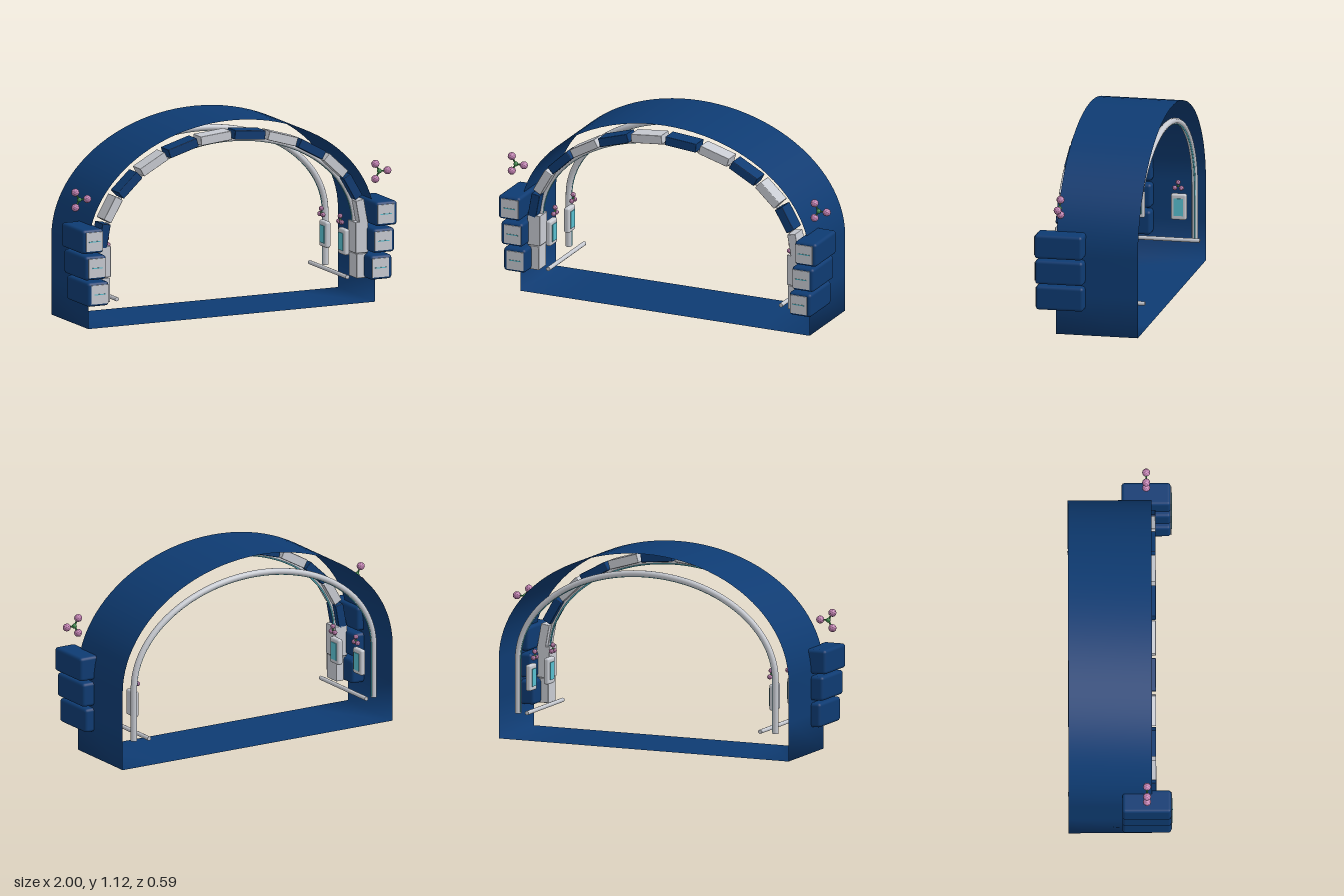
import * as THREE from 'three';
import { RoundedBoxGeometry } from 'three/addons/geometries/RoundedBoxGeometry.js';

const mat = (name, color, extra = {}) => {
  const m = new THREE.MeshStandardMaterial({ color, ...extra });
  m.name = name;
  return m;
};

const SPRING = 0.45; // height where the arches leave the straight legs

// Points along straight legs and a half-elliptical arch, right to left
function archPoints(rx, ry, foot, z = 0, legSteps = 3, steps = 48) {
  const pts = [];
  for (let i = 0; i < legSteps; i++) pts.push(new THREE.Vector3(rx, foot + (SPRING - foot) * i / legSteps, z));
  for (let i = 0; i <= steps; i++) {
    const a = Math.PI * i / steps;
    pts.push(new THREE.Vector3(rx * Math.cos(a), SPRING + ry * Math.sin(a), z));
  }
  for (let i = legSteps - 1; i >= 0; i--) pts.push(new THREE.Vector3(-rx, foot + (SPRING - foot) * i / legSteps, z));
  return pts;
}

// Open-ended tunnel: closed outline swept along z
function tunnelGeometry() {
  const loop = archPoints(0.895, 0.665, 0, 0, 2);
  for (let i = 1; i < 6; i++) loop.push(new THREE.Vector3(-0.895 + 1.79 * i / 6, 0, 0));
  const pos = [], idx = [], n = loop.length;
  loop.forEach((p, i) => {
    pos.push(p.x, p.y, 0.177, p.x, p.y, -0.292);
    const f = 2 * i, g = 2 * ((i + 1) % n);
    idx.push(f, f + 1, g, f + 1, g + 1, g);
  });
  const geo = new THREE.BufferGeometry();
  geo.setAttribute('position', new THREE.Float32BufferAttribute(pos, 3));
  geo.setIndex(idx);
  geo.computeVertexNormals();
  return geo;
}

export function createModel() {
  const blue = mat('navy blue', 0x0e3b72);
  const shellBlue = blue;
  shellBlue.side = THREE.DoubleSide;
  const grey = mat('light grey', 0xc8cbd2);
  const teal = mat('teal', 0x58bfd0);
  const pink = mat('blossom pink', 0xc080b0, { flatShading: true });
  const green = mat('stem green', 0x3f8a4c);

  const model = new THREE.Group();
  model.name = 'archway';
  const body = new THREE.Group();
  body.name = 'body';
  body.position.x = -0.013;
  model.add(body);

  const add = (parent, name, geo, material, x = 0, y = 0, z = 0) => {
    const m = new THREE.Mesh(geo, material);
    m.name = name;
    m.position.set(x, y, z);
    parent.add(m);
    return m;
  };
  const box = (w, h, d) => new THREE.BoxGeometry(w, h, d);

  add(body, 'tunnelShell', tunnelGeometry(), shellBlue);

  // Arch blocks in alternating colours
  const RX = 0.81, RY = 0.58, COUNT = 12;
  for (let i = 0; i < COUNT; i++) {
    const at = (k) => {
      const a = Math.PI - Math.PI * k / COUNT;
      return new THREE.Vector2(RX * Math.cos(a), SPRING + RY * Math.sin(a));
    };
    const p = at(i), q = at(i + 1), c = at(i + 0.5), d = q.clone().sub(p);
    const block = add(body, 'archBlock', new RoundedBoxGeometry(d.length() * 0.91, 0.052, 0.1, 1, 0.004),
      i % 2 ? grey : blue, c.x, c.y, 0.15);
    block.rotation.z = Math.atan2(d.y, d.x);
  }

  // Rails with a thin light strip on the inner side
  const rail = (name, rx, ry, z, r, material, foot) => {
    const curve = new THREE.CatmullRomCurve3(archPoints(rx, ry, foot, z));
    add(body, name, new THREE.TubeGeometry(curve, 96, r, 10), material);
    for (const s of [-1, 1]) {
      const cap = add(body, name + 'End', new THREE.CircleGeometry(r, 10), material, s * rx, foot, z);
      cap.rotation.x = Math.PI / 2;
    }
  };
  rail('backRail', 0.795, 0.545, -0.25, 0.018, grey, 0.145);
  rail('backLightStrip', 0.78, 0.53, -0.253, 0.005, teal, 0.15);
  rail('frontRail', 0.783, 0.55, 0.14, 0.011, grey, 0.3);
  rail('frontLightStrip', 0.774, 0.541, 0.135, 0.005, teal, 0.3);

  // Three-headed blossom lying in its local xy plane
  const blossom = (name, spread, r, core) => {
    const g = new THREE.Group();
    g.name = name;
    add(g, 'blossomCore', new THREE.SphereGeometry(core, 8, 6), green);
    for (let k = 0; k < 3; k++) {
      const a = k * Math.PI * 2 / 3, x = Math.cos(a), y = Math.sin(a);
      add(g, 'blossomHead', new THREE.IcosahedronGeometry(r, 1), pink, x * spread, y * spread, 0);
      const stem = add(g, 'blossomStem', new THREE.CylinderGeometry(core * 0.35, core * 0.35, spread, 6), green,
        x * spread / 2, y * spread / 2, 0);
      stem.rotation.z = a - Math.PI / 2;
    }
    body.add(g);
    return g;
  };

  for (const s of [-1, 1]) {
    // Pillar under each end of the block arch
    add(body, 'pillarLower', new RoundedBoxGeometry(0.066, 0.14, 0.1, 1, 0.004), grey, s * 0.803, 0.217, 0.15);
    add(body, 'pillarUpper', new RoundedBoxGeometry(0.078, 0.178, 0.1, 1, 0.004), grey, s * 0.803, 0.379, 0.15);

    // Stacked side lockers with a front plate and a light line
    for (let i = 0; i < 3; i++) {
      const x = s * (0.884 + i * 0.0165), y = 0.216 + i * 0.152;
      add(body, 'locker', new RoundedBoxGeometry(0.135, 0.138, 0.275, 2, 0.018), blue, x, y, 0.147);
      add(body, 'lockerPlate', box(0.104, 0.108, 0.006), grey, x - s * 0.007, y, 0.286);
      add(body, 'lockerLight', box(0.07, 0.005, 0.004), teal, x - s * 0.007, y, 0.290);
    }

    // Floor rod running front to back
    const rod = add(body, 'floorRod', new THREE.CylinderGeometry(0.012, 0.012, 0.48, 10), grey, s * 0.72, 0.157, -0.055);
    rod.rotation.x = Math.PI / 2;

    // Wall screens facing inwards, each topped by a small blossom
    for (const z of [-0.168, 0.072]) {
      add(body, 'screenFrame', new RoundedBoxGeometry(0.034, 0.15, 0.09, 2, 0.012), grey, s * 0.752, 0.34, z);
      add(body, 'screen', box(0.006, 0.1, 0.055), teal, s * 0.734, 0.34, z);
      const small = blossom('screenBlossom', 0.022, 0.0145, 0.007);
      small.position.set(s * 0.73, 0.464, z);
      small.rotation.set(0, Math.PI / 2, Math.PI / 2, 'YXZ');
    }

    // Large blossom above the lockers
    blossom('sideBlossom', 0.05, 0.023, 0.014).position.set(s * 0.937, 0.738, 0.148);
  }
  return model;
}
